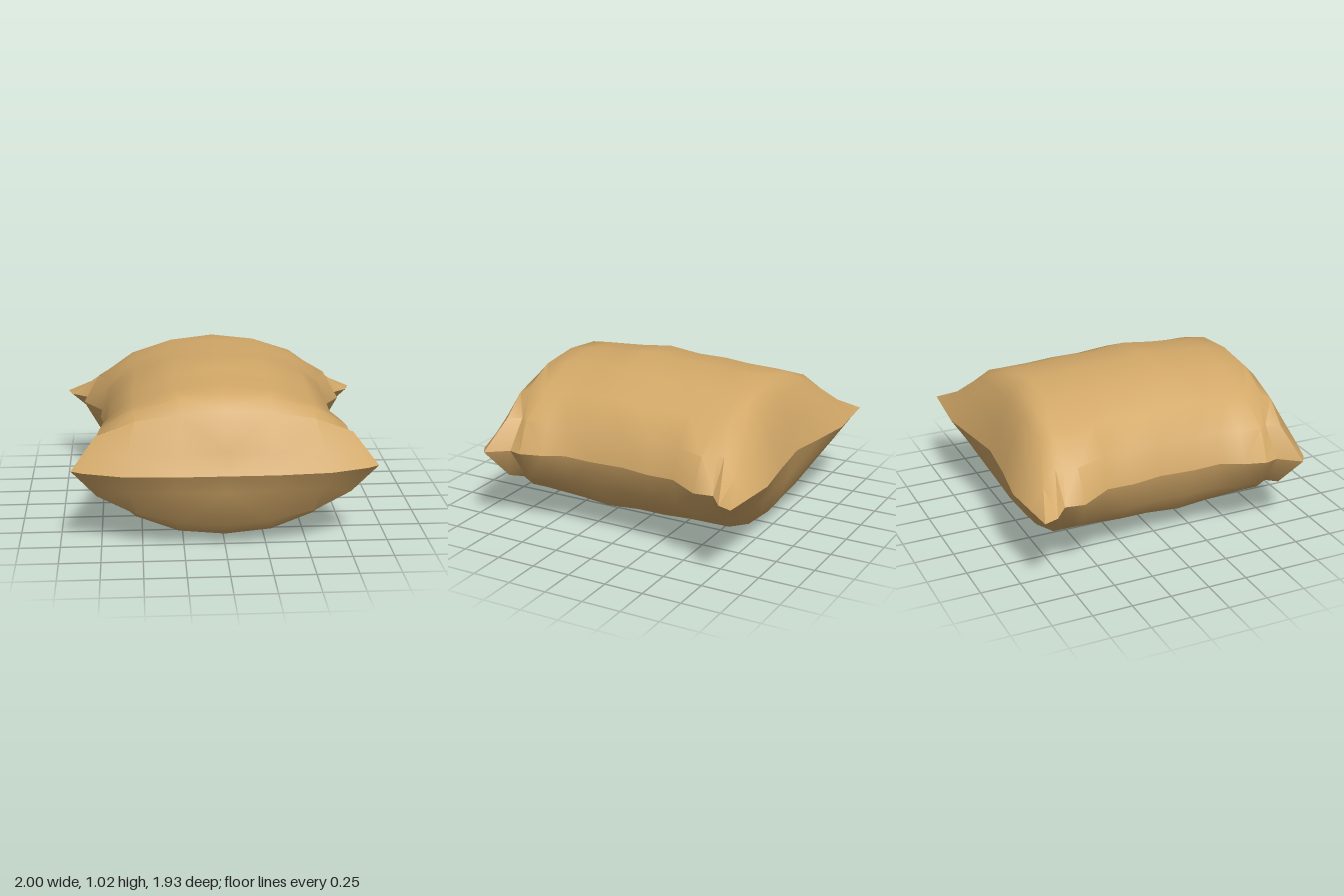
import * as THREE from 'three';
import { toCreasedNormals } from 'three/addons/utils/BufferGeometryUtils.js';

const SEAM_Y = 0.51;

// Body cross-section: half width, half height and z, as [x, height, z] from centre to seam
const body = (w, h, z) => [
  [0, h, z],
  [0.28, h * 0.93, z],
  [0.54, h * 0.71, z],
  [w * 0.6 + 0.245, 0.19, z],
  [w, 0, z],
];

// Half sections from the front lip to the back lip
const SECTIONS = [
  // front lip, end face and pinched corner
  [[0, 0, 0.965], [0.3, 0, 0.965], [0.62, 0, 0.94], [0.85, 0, 0.865], [0.92, 0, 0.82]],
  [[0, 0.13, 0.9], [0.29, 0.12, 0.9], [0.58, 0.125, 0.875], [0.81, 0.095, 0.8], [0.92, 0, 0.82]],
  [[0, 0.365, 0.83], [0.28, 0.34, 0.82], [0.54, 0.29, 0.79], [0.77, 0.19, 0.74], [0.92, 0, 0.82]],
  [[0, 0.445, 0.75], [0.28, 0.42, 0.745], [0.54, 0.33, 0.72], [0.71, 0.19, 0.665], [0.82, 0, 0.69]],
  // stuffed body
  body(0.84, 0.465, 0.61),
  body(0.8, 0.475, 0.47),
  body(0.735, 0.485, 0.34),
  body(0.745, 0.51, 0.15),
  body(0.73, 0.485, -0.07),
  body(0.76, 0.485, -0.26),
  body(0.755, 0.47, -0.43),
  body(0.88, 0.465, -0.63),
  // back fold, flared corner and lip
  [[0, 0.435, -0.71], [0.28, 0.41, -0.71], [0.54, 0.33, -0.7], [0.72, 0.19, -0.7], [0.86, 0, -0.75]],
  [[0, 0.34, -0.78], [0.28, 0.33, -0.775], [0.54, 0.28, -0.77], [0.72, 0.19, -0.75], [0.86, 0, -0.75]],
  [[0, 0.19, -0.84], [0.28, 0.19, -0.845], [0.56, 0.15, -0.87], [0.78, 0.11, -0.85], [0.97, 0, -0.84]],
  [[0, 0, -0.9], [0.28, 0, -0.92], [0.58, 0, -0.965], [0.8, 0, -0.947], [1, 0, -0.93]],
];

// One cloth panel; side is +1 for the upper and -1 for the lower
function panelGeometry(side) {
  const positions = [];
  const index = [];
  const cols = 9;
  SECTIONS.forEach((half, row) => {
    for (let j = 0; j < cols; j++) {
      const k = j - 4;
      const [x, h, z] = half[Math.abs(k)];
      // the back lip lifts slightly at its middle
      const lift = row === SECTIONS.length - 1 && k === 0 ? 0.02 : 0;
      positions.push(Math.sign(k) * x, SEAM_Y + side * h + lift, z);
    }
  });
  const tri = (a, b, c) => (side > 0 ? index.push(a, b, c) : index.push(a, c, b));
  for (let i = 0; i < SECTIONS.length - 1; i++) {
    for (let j = 0; j < cols - 1; j++) {
      const a = i * cols + j, b = a + 1, c = a + cols, d = c + 1;
      // mirrored diagonals keep the two halves alike
      if (j < 4) { tri(a, b, c); tri(b, d, c); }
      else { tri(a, b, d); tri(a, d, c); }
    }
  }
  const geometry = new THREE.BufferGeometry();
  geometry.setAttribute('position', new THREE.Float32BufferAttribute(positions, 3));
  geometry.setIndex(index);
  return toCreasedNormals(geometry, 0.8);
}

export function createModel() {
  const group = new THREE.Group();
  group.name = 'sack';
  const burlap = new THREE.MeshStandardMaterial({ color: 0xd2a868 });
  burlap.name = 'burlap';

  for (const [name, side] of [['upperPanel', 1], ['lowerPanel', -1]]) {
    const mesh = new THREE.Mesh(panelGeometry(side), burlap);
    mesh.name = name;
    group.add(mesh);
  }
  return group;
}
